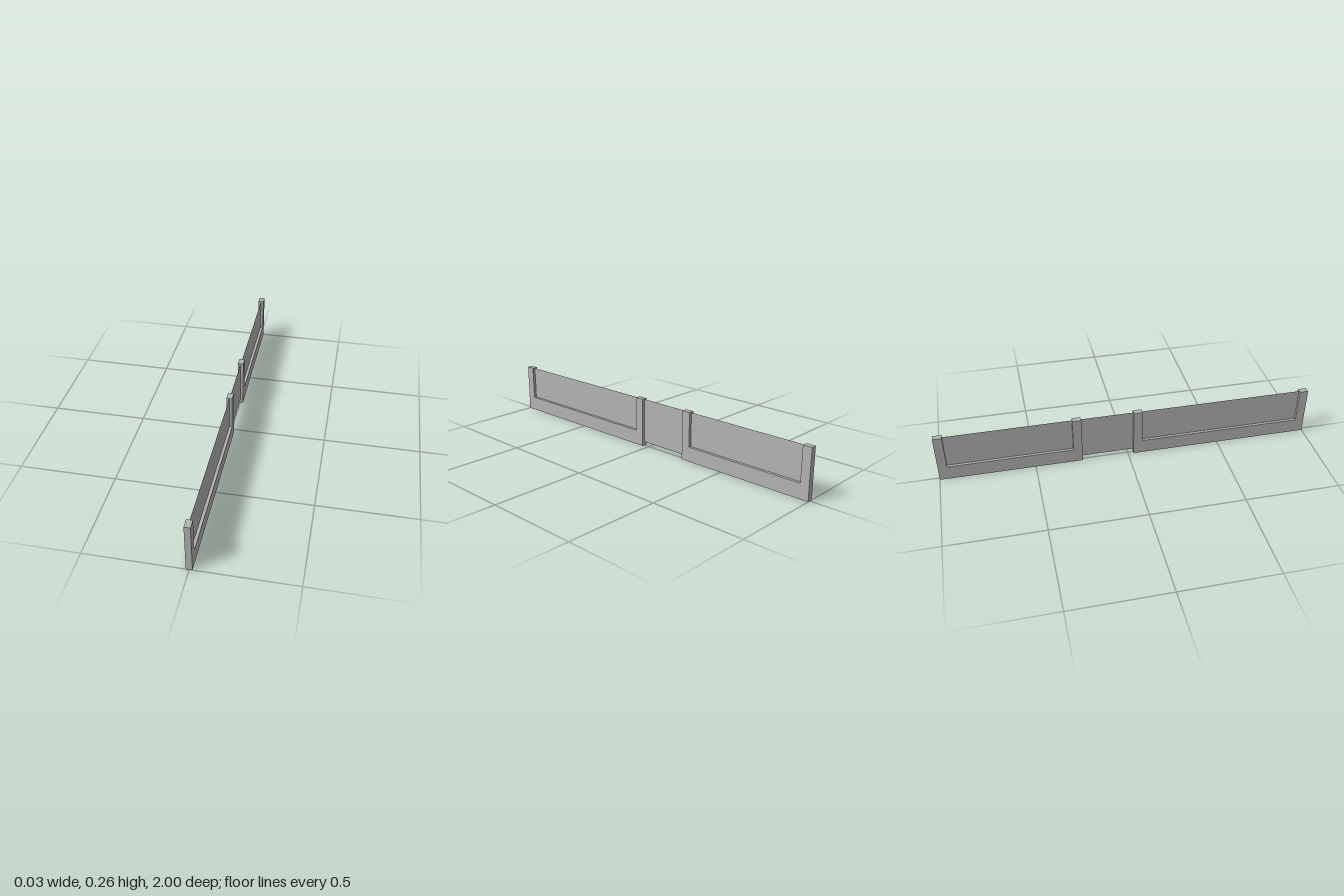
import * as THREE from 'three';

const HEIGHT = 0.263, DEPTH = 0.03, RAIL = 0.078, POST = 0.047;

export function createModel() {
  const model = new THREE.Group();
  model.name = 'barrier';

  const grey = new THREE.MeshStandardMaterial({ color: 0xb4b4b4 });
  grey.name = 'grey';
  const greySheet = new THREE.MeshStandardMaterial({ color: 0xb4b4b4, side: THREE.DoubleSide });
  greySheet.name = 'grey';

  // U-shaped frame: two posts joined by a bottom rail, from z0 to z1
  function addFrame(name, z0, z1) {
    const shape = new THREE.Shape([
      [z0, 0], [z1, 0], [z1, HEIGHT], [z1 - POST, HEIGHT],
      [z1 - POST, RAIL], [z0 + POST, RAIL], [z0 + POST, HEIGHT], [z0, HEIGHT],
    ].map(([z, y]) => new THREE.Vector2(z, y)));
    const geo = new THREE.ExtrudeGeometry(shape, { depth: DEPTH, bevelEnabled: false });
    geo.rotateY(-Math.PI / 2).translate(DEPTH / 2, 0, 0);
    const mesh = new THREE.Mesh(geo, grey);
    mesh.name = name;
    model.add(mesh);
  }
  addFrame('frontFrame', 0.03, 1);
  addFrame('backFrame', -1, -0.248);

  // Thin sheet running through both frames and across the gap
  const sheet = new THREE.Mesh(new THREE.PlaneGeometry(1.94, 0.24), greySheet);
  sheet.name = 'panel';
  sheet.rotation.y = Math.PI / 2;
  sheet.position.y = 0.14;
  model.add(sheet);

  return model;
}
